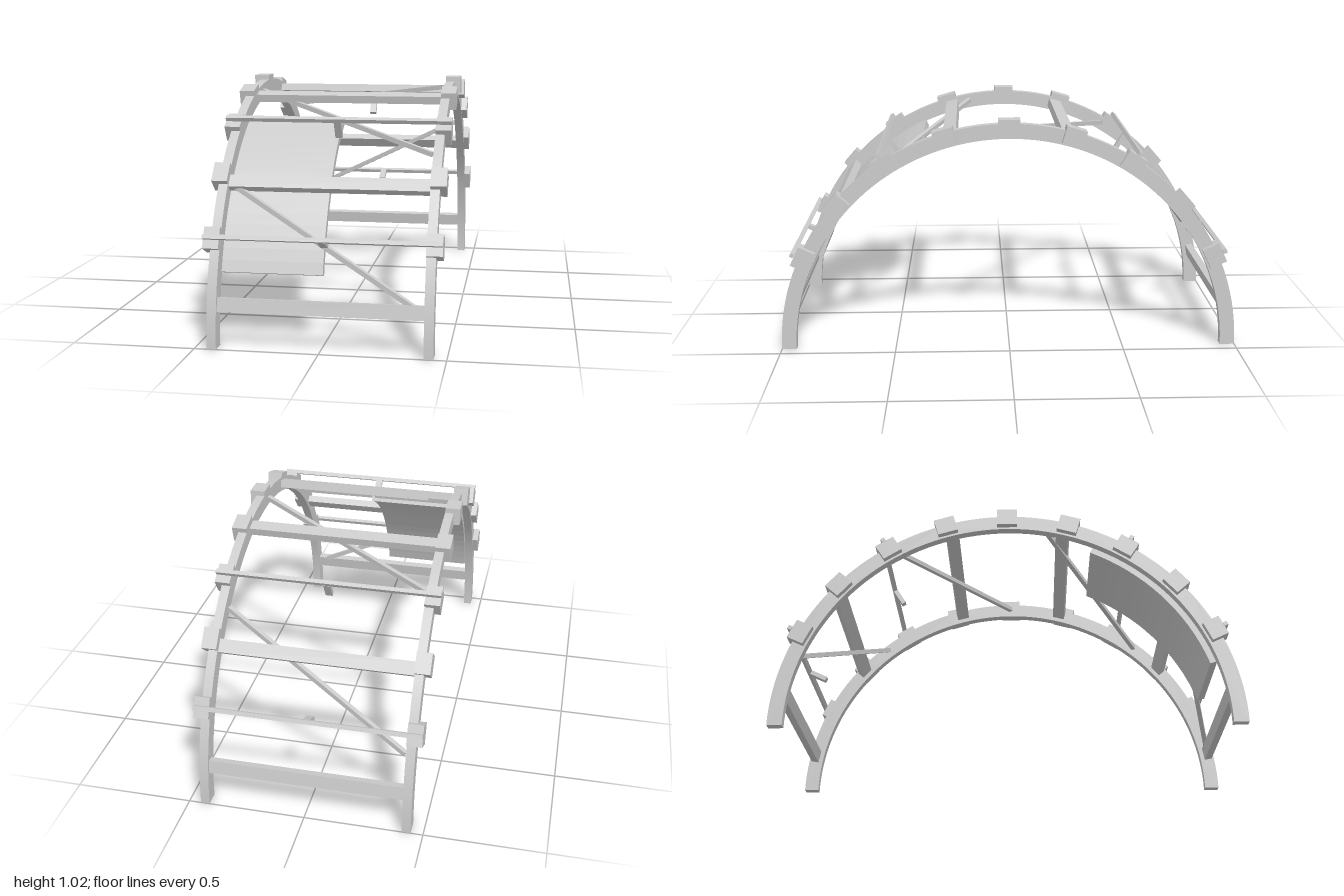
import * as THREE from 'three';
import { toCreasedNormals } from 'three/addons/utils/BufferGeometryUtils.js';

const rad = THREE.MathUtils.degToRad;
const material = new THREE.MeshStandardMaterial({ color: 0xcccccc });

// Point on the arch; angle in degrees from the crown, positive toward the front
const onArch = (x, r, deg) =>
  new THREE.Vector3(x, r * Math.cos(rad(deg)), r * Math.sin(rad(deg)));

// Curved slab between two radii and two angles, spanning xMin..xMax
function arcSlab(name, rIn, rOut, from, to, xMin, xMax, segments, crease) {
  const a = Math.PI / 2 - rad(from), b = Math.PI / 2 - rad(to);
  const shape = new THREE.Shape();
  shape.absarc(0, 0, rOut, b, a, false);
  shape.absarc(0, 0, rIn, a, b, true);
  let geo = new THREE.ExtrudeGeometry(shape, {
    depth: xMax - xMin, bevelEnabled: false, curveSegments: segments,
  });
  geo.rotateY(-Math.PI / 2).translate(xMax, 0, 0);
  geo = toCreasedNormals(geo, rad(crease));
  const mesh = new THREE.Mesh(geo, material);
  mesh.name = name;
  return mesh;
}

// Box set on the arch: width along x, height along the radius, depth along the curve
function archBox(name, x, r, deg, w, h, d) {
  const mesh = new THREE.Mesh(new THREE.BoxGeometry(w, h, d), material);
  mesh.name = name;
  mesh.position.copy(onArch(x, r, deg));
  mesh.rotation.x = rad(deg);
  return mesh;
}

// Straight square bar between two points
function bar(name, p, q, size) {
  const mesh = new THREE.Mesh(new THREE.BoxGeometry(size, size, p.distanceTo(q)), material);
  mesh.name = name;
  mesh.position.copy(p).add(q).multiplyScalar(0.5);
  mesh.lookAt(q);
  return mesh;
}

export function createModel() {
  const model = new THREE.Group();
  model.name = 'archedFrame';
  const step = 16.2;

  // Two side arches with clamp blocks
  for (const side of [-1, 1]) {
    const inner = side * 0.411, outer = side * 0.449;
    model.add(arcSlab(side > 0 ? 'leftArch' : 'rightArch', 0.936, 1, -90, 90,
      Math.min(inner, outer), Math.max(inner, outer), 40, 20));
    for (let i = -4; i <= 4; i++) {
      model.add(archBox('clampBlock', side * 0.4435, 0.983, i * step, 0.065, 0.076, 0.09));
    }
  }

  for (const s of [-1, 1]) {
    // Wide cross beams between the arches
    for (const deg of [14.9, 49.8, 79.8]) {
      model.add(archBox('crossBeam', 0, 0.972, s * deg, 0.822, 0.034, 0.057));
    }
    // Thin outer rails, each with a short central post
    for (const n of [2, 4]) {
      model.add(archBox('outerRail', 0, 1.031, s * n * step, 0.952, 0.018, 0.018));
      model.add(archBox('railPost', 0, 0.983, s * n * step, 0.03, 0.08, 0.02));
    }
  }

  // Diagonal braces: angle at the right arch, angle at the left arch
  for (const [right, left] of [[10, 40], [50, 80], [-30, 0], [-70, -40]]) {
    model.add(bar('diagonalBrace', onArch(-0.405, 0.972, right), onArch(0.405, 0.972, left), 0.02));
  }

  // Curved cladding panel on the front right quarter
  model.add(arcSlab('curvedPanel', 0.91, 0.942, 24, 72, -0.411, 0, 8, 2));

  return model;
}
